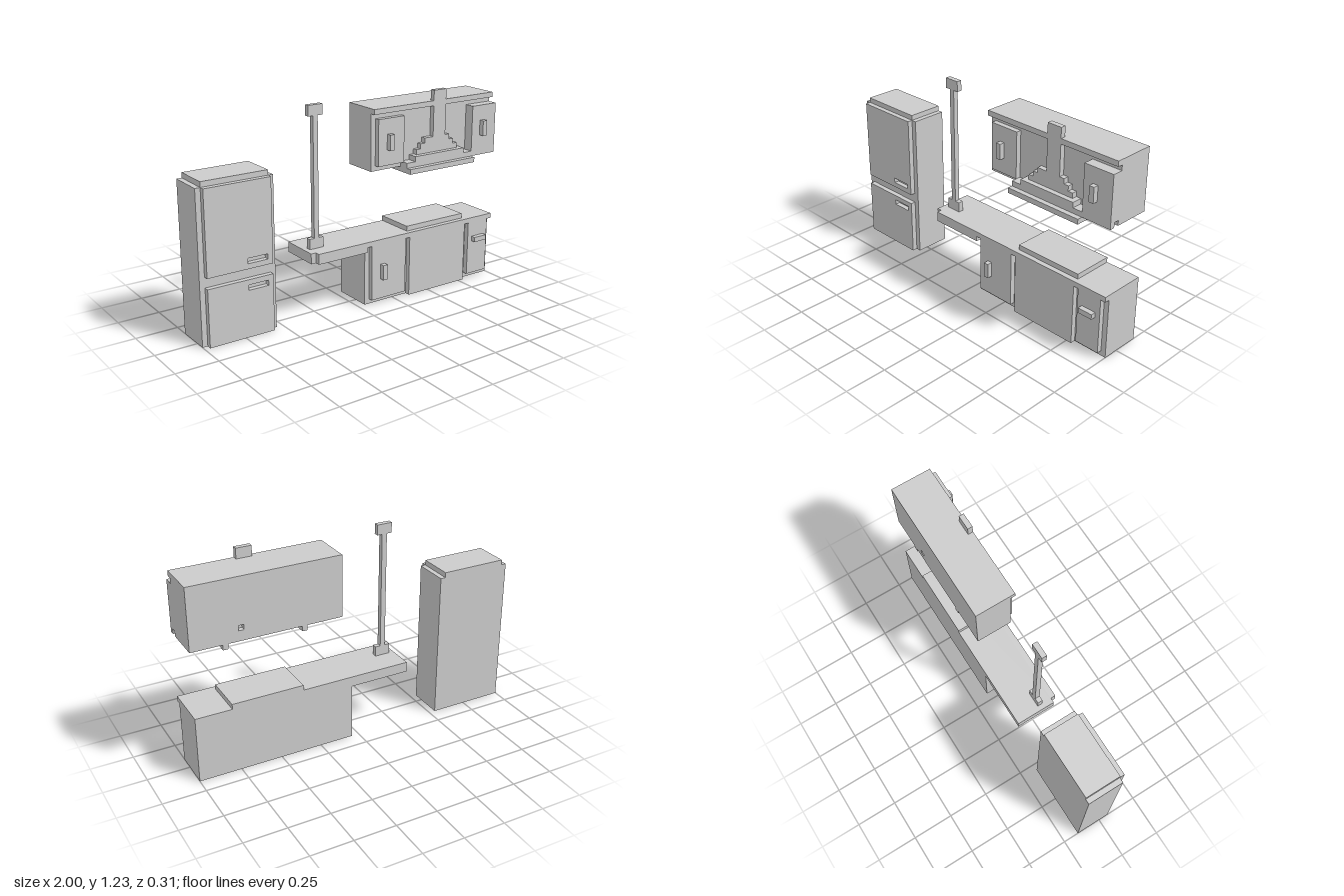
import * as THREE from 'three';

// All parts sit on a grid 65 cells wide, 40 high and 10 deep.
const U = 2 / 65;
const X0 = -1, Z0 = -5 * U;
const material = new THREE.MeshStandardMaterial({ color: 0xcccccc, flatShading: true });

function addMesh(group, name, geometry) {
  const mesh = new THREE.Mesh(geometry, material);
  mesh.name = name;
  group.add(mesh);
  return mesh;
}

// Solid block from cell range [x0,x1] [y0,y1] [z0,z1]
function block(group, name, [x0, x1], [y0, y1], [z0, z1]) {
  const mesh = addMesh(group, name, new THREE.BoxGeometry((x1 - x0) * U, (y1 - y0) * U, (z1 - z0) * U));
  mesh.position.set(X0 + (x0 + x1) / 2 * U, (y0 + y1) / 2 * U, Z0 + (z0 + z1) / 2 * U);
}

function rectangle(Type, [x0, x1], [y0, y1]) {
  const points = [[x0, y0], [x1, y0], [x1, y1], [x0, y1]];
  return new Type(points.map(([x, y]) => new THREE.Vector2(X0 + x * U, y * U)));
}

// Upright panel with a rectangular opening
function panel(group, name, xs, ys, [z0, z1], holeX, holeY) {
  const shape = rectangle(THREE.Shape, xs, ys);
  shape.holes.push(rectangle(THREE.Path, holeX, holeY));
  const mesh = addMesh(group, name, new THREE.ExtrudeGeometry(shape, { depth: (z1 - z0) * U, bevelEnabled: false }));
  mesh.position.z = Z0 + z0 * U;
}

function part(parent, name) {
  const group = new THREE.Group();
  group.name = name;
  parent.add(group);
  return group;
}

export function createModel() {
  const model = new THREE.Group();
  model.name = 'kitchen';

  // Refrigerator with recessed grips
  const fridge = part(model, 'refrigerator');
  block(fridge, 'fridgeBody', [0, 15], [0, 29], [0, 7]);
  block(fridge, 'fridgeTop', [1, 14], [29, 30], [0, 7]);
  panel(fridge, 'lowerFridgeDoor', [1, 14], [0, 11], [7, 8], [9, 13], [9, 10]);
  panel(fridge, 'upperFridgeDoor', [1, 14], [13, 29], [7, 8], [9, 13], [14, 15]);

  // Worktop and its front lip
  const counter = part(model, 'counter');
  block(counter, 'worktop', [22, 65], [11, 13], [0, 8]);
  block(counter, 'overhangLip', [23, 34], [11, 13], [8, 9]);
  block(counter, 'rightLip', [34, 44], [12, 13], [8, 9]);
  block(counter, 'leftLip', [58, 65], [12, 13], [8, 9]);

  // Base cabinets
  block(counter, 'baseCabinet', [34, 65], [0, 11], [0, 8]);
  block(counter, 'rightBaseDoor', [35, 43], [1, 12], [8, 9]);
  block(counter, 'rightBaseHandle', [37, 38], [5, 8], [9, 10]);
  block(counter, 'leftBaseDoor', [59, 64], [1, 12], [8, 9]);
  block(counter, 'leftBaseHandle', [60, 63], [8, 9], [9, 10]);

  // Stove
  block(counter, 'stoveFront', [44, 58], [0, 13], [8, 9]);
  block(counter, 'stoveTop', [44, 58], [13, 14], [0, 8]);

  // Support pole standing on the overhang
  const pole = part(model, 'pole');
  block(pole, 'poleBase', [23, 26], [13, 15], [5, 6]);
  block(pole, 'poleShaft', [24, 25], [15, 38], [5, 6]);
  block(pole, 'poleCap', [23, 26], [38, 40], [5, 6]);

  // Wall cabinets
  const wall = part(model, 'wallCabinets');
  panel(wall, 'wallCabinetBack', [36, 65], [26, 38], [0, 1], [55, 56], [28, 29]);
  block(wall, 'wallCabinetBody', [36, 65], [26, 38], [1, 7]);
  block(wall, 'topLip', [36, 65], [37, 38], [7, 8]);
  block(wall, 'rightWallDoor', [37, 43], [27, 36], [7, 8]);
  block(wall, 'rightWallHandle', [39, 40], [30, 33], [8, 9]);
  block(wall, 'leftWallDoorCore', [59, 65], [27, 36], [7, 8]);
  block(wall, 'leftWallDoor', [59, 65], [26, 36], [8, 9]);
  block(wall, 'leftWallHandle', [61, 62], [30, 33], [9, 10]);

  // Range hood: open rim, stepped tiers and chimney
  const hood = part(model, 'rangeHood');
  block(hood, 'hoodRimFront', [43, 59], [25, 26], [9, 10]);
  for (const x of [43, 58]) block(hood, 'hoodRimSide', [x, x + 1], [25, 26], [0, 9]);
  block(hood, 'hoodBase', [43, 59], [26, 27], [7, 9]);
  for (let i = 0; i < 4; i++) {
    block(hood, 'hoodTier', [45 + i, 57 - i], [27 + i, 28 + i], [7, i ? 8 : 9]);
  }
  block(hood, 'chimney', [50, 53], [31, 40], [7, 8]);

  return model;
}
